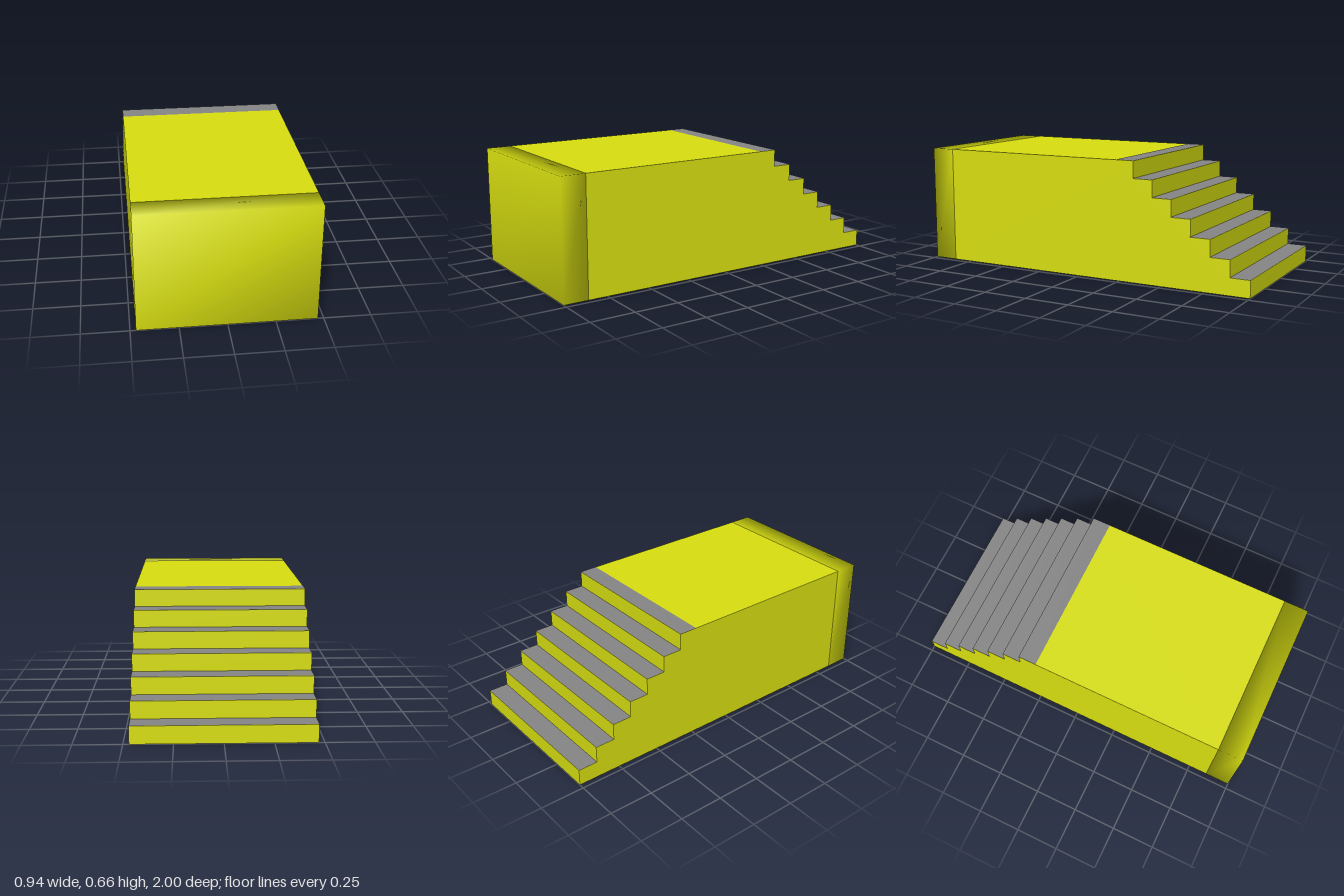
import * as THREE from 'three';
import { mergeVertices } from 'three/addons/utils/BufferGeometryUtils.js';

const WIDTH = 0.94, HEIGHT = 0.66, STEPS = 7;
const RISE = HEIGHT / STEPS, GOING = 0.111;
const WALL_BACK = 0.86, TOP_TREAD_FRONT = -0.23;

export function createModel() {
  const group = new THREE.Group();
  const yellow = new THREE.MeshStandardMaterial({ color: 0xd9e010 });
  const grey = new THREE.MeshStandardMaterial({ color: 0x868686 });

  const add = (name, geometry, material) => {
    const mesh = new THREE.Mesh(geometry, material);
    mesh.name = name;
    group.add(mesh);
    return mesh;
  };

  // Block with a staircase at the back: side profile (distance backwards, height) extruded across the width
  const profile = new THREE.Shape();
  profile.moveTo(-WALL_BACK, 0);
  profile.lineTo(1, 0);
  for (let i = 0; i < STEPS; i++) {
    const u = 1 - i * GOING;
    profile.lineTo(u, (i + 1) * RISE);
    if (i < STEPS - 1) profile.lineTo(u - GOING, (i + 1) * RISE);
  }
  profile.lineTo(-WALL_BACK, HEIGHT);
  const body = new THREE.ExtrudeGeometry(profile, { depth: WIDTH, bevelEnabled: false });
  body.translate(0, 0, -WIDTH / 2).rotateY(Math.PI / 2);
  add('stairBlock', body, yellow);

  // Grey tread surfaces, laid just over each step
  for (let i = 0; i < STEPS; i++) {
    const back = -1 + i * GOING;
    const front = i < STEPS - 1 ? back + GOING : TOP_TREAD_FRONT;
    const tread = new THREE.PlaneGeometry(WIDTH, front - back).rotateX(-Math.PI / 2);
    add(`tread${i + 1}`, tread, grey)
      .position.set(0, (i + 1) * RISE + 0.001, (front + back) / 2);
  }

  // Front slab: shared corners give it soft, blended shading
  let slab = new THREE.BoxGeometry(WIDTH, HEIGHT, 1 - WALL_BACK);
  slab.deleteAttribute('normal');
  slab.deleteAttribute('uv');
  slab = mergeVertices(slab);
  slab.computeVertexNormals();
  add('frontSlab', slab, yellow).position.set(0, HEIGHT / 2, (1 + WALL_BACK) / 2);

  return group;
}
